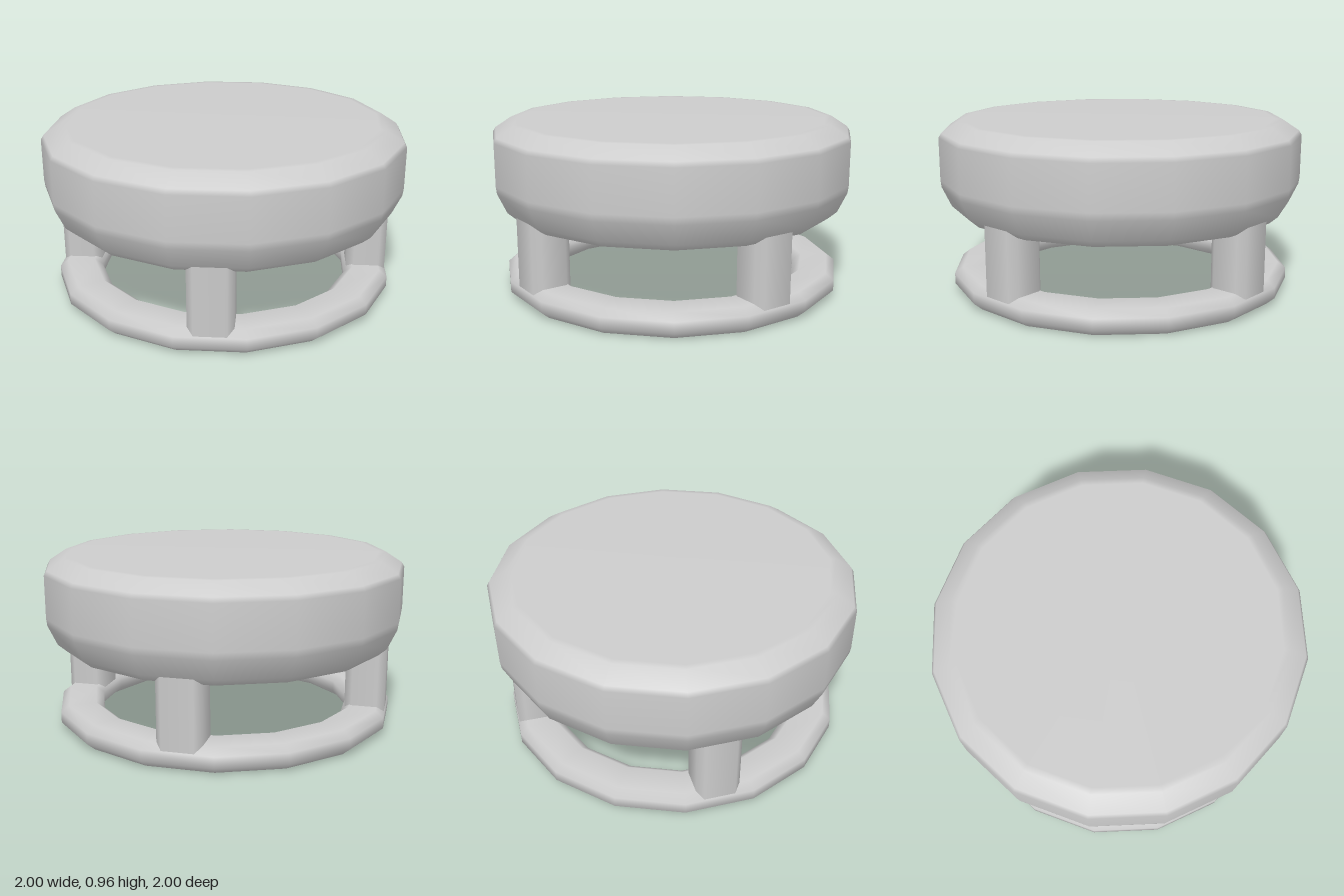
import * as THREE from 'three';

const SIDES = 16;

// Turned shell with 16 flats; profile radii are measured to the middle of a flat
function turned(name, profile, material) {
  const k = 1 / Math.cos(Math.PI / SIDES);
  const points = profile.map(([r, y]) => new THREE.Vector2(r * k, y));
  const mesh = new THREE.Mesh(new THREE.LatheGeometry(points, SIDES, Math.PI / SIDES), material);
  mesh.name = name;
  return mesh;
}

// Open-ended tube with chamfered corners; local z points away from the centre
function legGeometry(bottom, top) {
  const g = new THREE.CylinderGeometry(1, 1, top - bottom, 8, 1, true, Math.PI / 8);
  g.translate(0, (top + bottom) / 2, 0);
  const p = g.attributes.position;
  for (let i = 0; i < p.count; i++) {
    const x = p.getX(i), z = p.getZ(i);
    p.setX(i, Math.sign(x) * (Math.abs(x) > 0.5 ? 0.12 : 0.085));
    p.setZ(i, Math.sign(z) * (Math.abs(z) > 0.5 ? 0.11 : 0.07));
  }
  return g;
}

export function createModel() {
  const model = new THREE.Group();
  model.name = 'stool';
  const grey = new THREE.MeshStandardMaterial({ color: 0xcccccc, side: THREE.DoubleSide });
  grey.name = 'light grey';

  // Hollow seat, open underneath
  model.add(turned('seat', [
    [0.9, 0.45], [0.945, 0.49], [0.995, 0.6], [1, 0.64], [1, 0.875],
    [0.985, 0.9], [0.895, 0.96], [0.86, 0.962], [0, 0.962],
  ], grey));

  // Foot ring, a channel open underneath
  model.add(turned('footRing', [
    [0.9, 0], [0.945, 0.04], [0.945, 0.1], [0.9, 0.135],
    [0.75, 0.135], [0.705, 0.1], [0.705, 0.04], [0.75, 0],
  ], grey));

  // Four legs on the diagonals
  const geometry = legGeometry(0.103, 0.487);
  for (let i = 0; i < 4; i++) {
    const angle = Math.PI / 4 + i * Math.PI / 2;
    const leg = new THREE.Mesh(geometry, grey);
    leg.name = 'leg' + (i + 1);
    leg.position.set(Math.sin(angle) * 0.83, 0, Math.cos(angle) * 0.83);
    leg.rotation.y = angle;
    model.add(leg);
  }
  return model;
}
